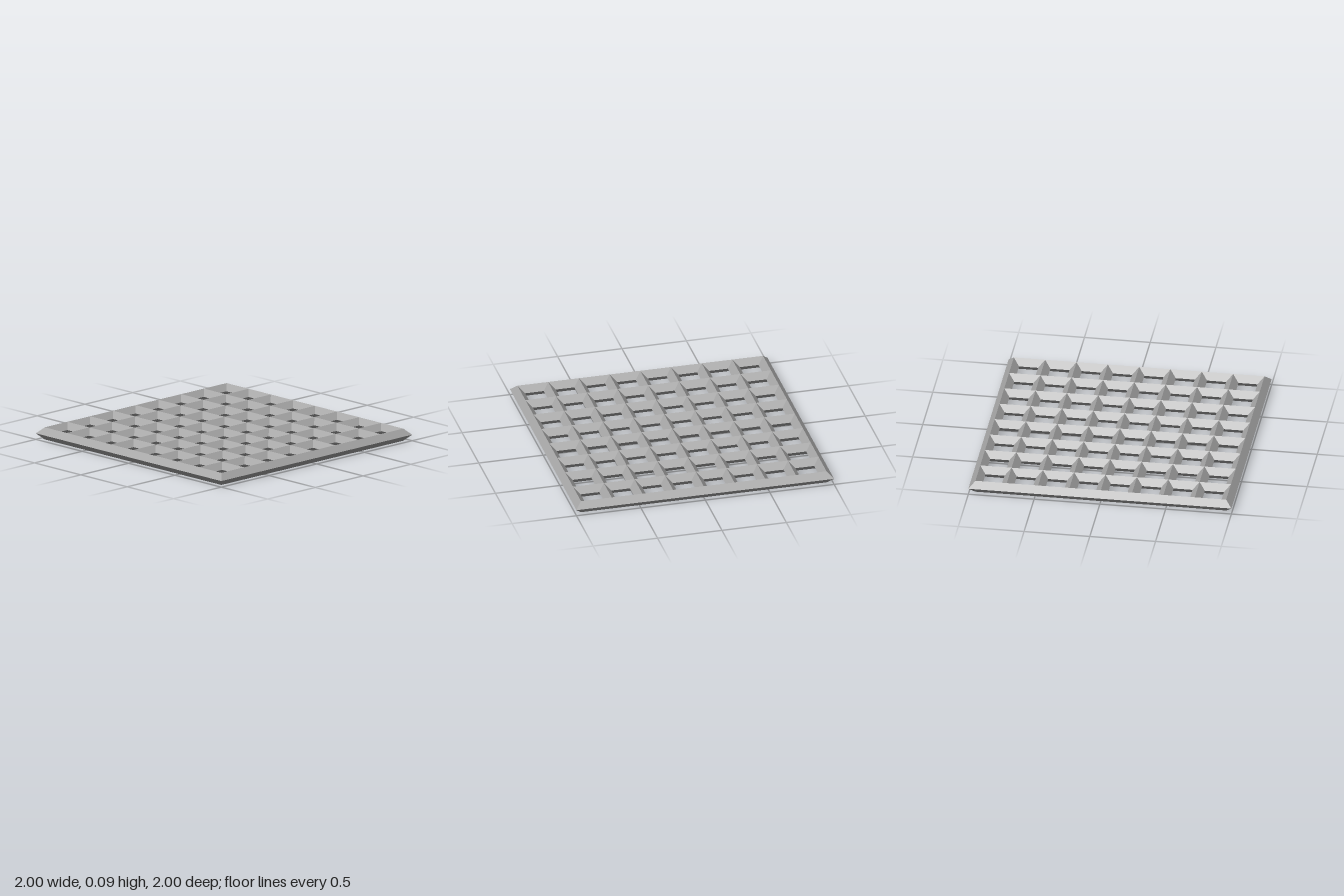
import * as THREE from 'three';

const CELLS = 8;
const R = 0.047;              // half thickness of the diamond-section bars
const SPAN = 1 - R;           // centre line of the outer bars
const PITCH = (2 * SPAN) / CELLS;

// Four-sided wall folded at mid height; profile is a list of [half width, y].
// Points running upward face outward, downward face inward.
function squareWall(profile) {
  const points = profile.map(([half, y]) => new THREE.Vector2(half * Math.SQRT2, y));
  return new THREE.LatheGeometry(points, 4, Math.PI / 4);
}

export function createModel() {
  const metal = new THREE.MeshStandardMaterial({ color: 0xa6a6a6, flatShading: true });
  metal.name = 'grey metal';

  const grate = new THREE.Group();
  grate.name = 'grate';

  // Outer bevelled rim
  const rim = new THREE.Mesh(squareWall([[SPAN, 0], [1, R], [SPAN, 2 * R]]), metal);
  rim.name = 'outerRim';
  grate.add(rim);

  // Each opening is lined by the inner slopes of the bars around it
  const half = PITCH / 2;
  const opening = squareWall([[half, 2 * R], [half - R, R], [half, 0]]);
  for (let i = 0; i < CELLS; i++) {
    for (let j = 0; j < CELLS; j++) {
      const cell = new THREE.Mesh(opening, metal);
      cell.name = `cellWalls_${i + 1}_${j + 1}`;
      cell.position.set(-SPAN + (i + 0.5) * PITCH, 0, -SPAN + (j + 0.5) * PITCH);
      grate.add(cell);
    }
  }
  return grate;
}
